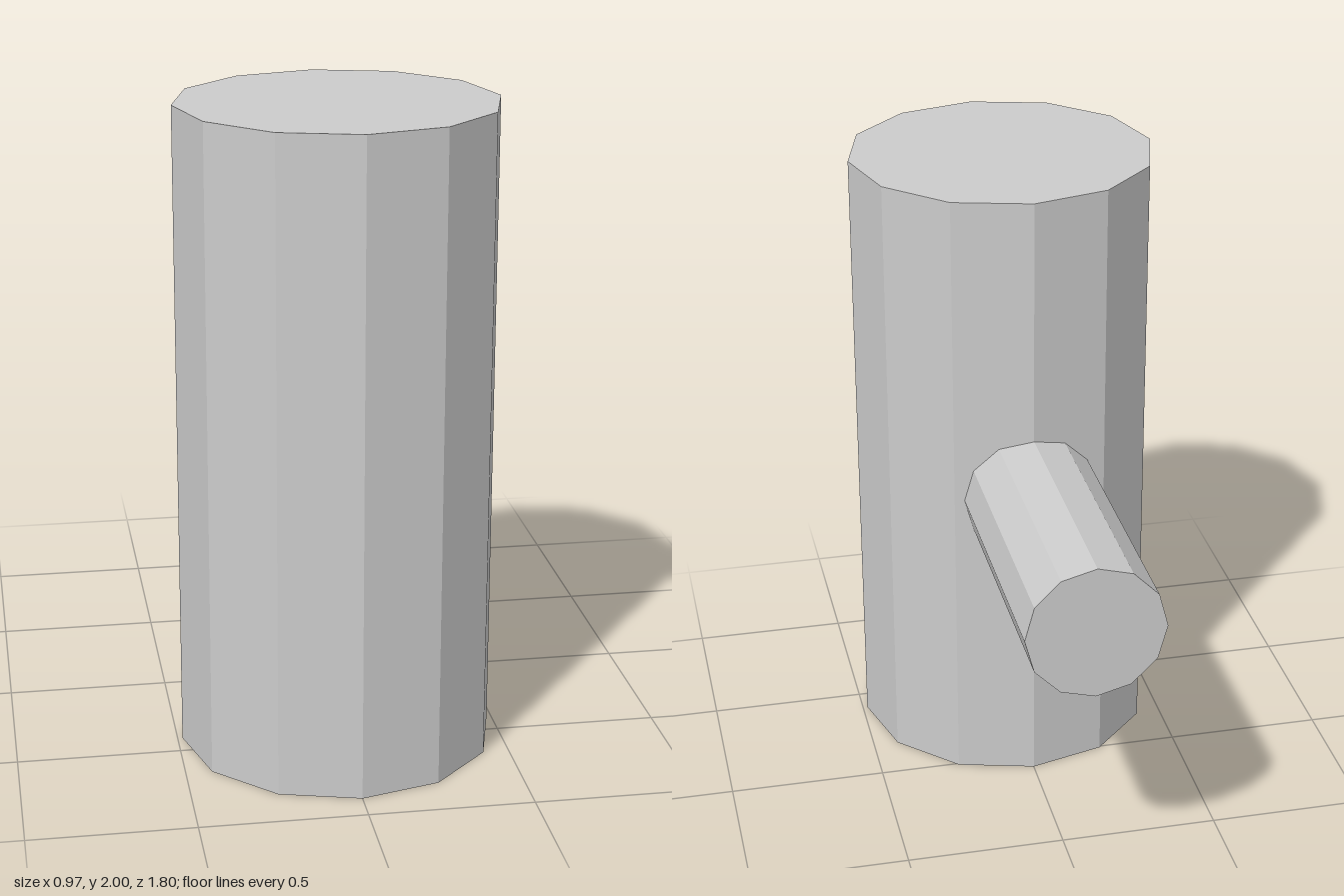
import * as THREE from 'three';

const SIDES = 12;
const BODY_RADIUS = 0.485, BODY_HEIGHT = 2, BODY_Z = 0.413;
const PEG_RADIUS = 0.212, PEG_END_Z = -0.898, PEG_Y = 1;

export function createModel() {
  const group = new THREE.Group();
  const material = new THREE.MeshStandardMaterial({ color: 0xcccccc, flatShading: true });

  // Upright twelve-sided post
  const body = new THREE.Mesh(
    new THREE.CylinderGeometry(BODY_RADIUS, BODY_RADIUS, BODY_HEIGHT, SIDES), material);
  body.name = 'post';
  body.position.set(0, BODY_HEIGHT / 2, BODY_Z);
  group.add(body);

  // Horizontal peg running from the post's axis out of the back
  const length = BODY_Z - PEG_END_Z;
  const peg = new THREE.Mesh(
    new THREE.CylinderGeometry(PEG_RADIUS, PEG_RADIUS, length, SIDES), material);
  peg.name = 'peg';
  peg.rotation.x = Math.PI / 2;
  peg.position.set(0, PEG_Y, (BODY_Z + PEG_END_Z) / 2);
  group.add(peg);

  return group;
}
